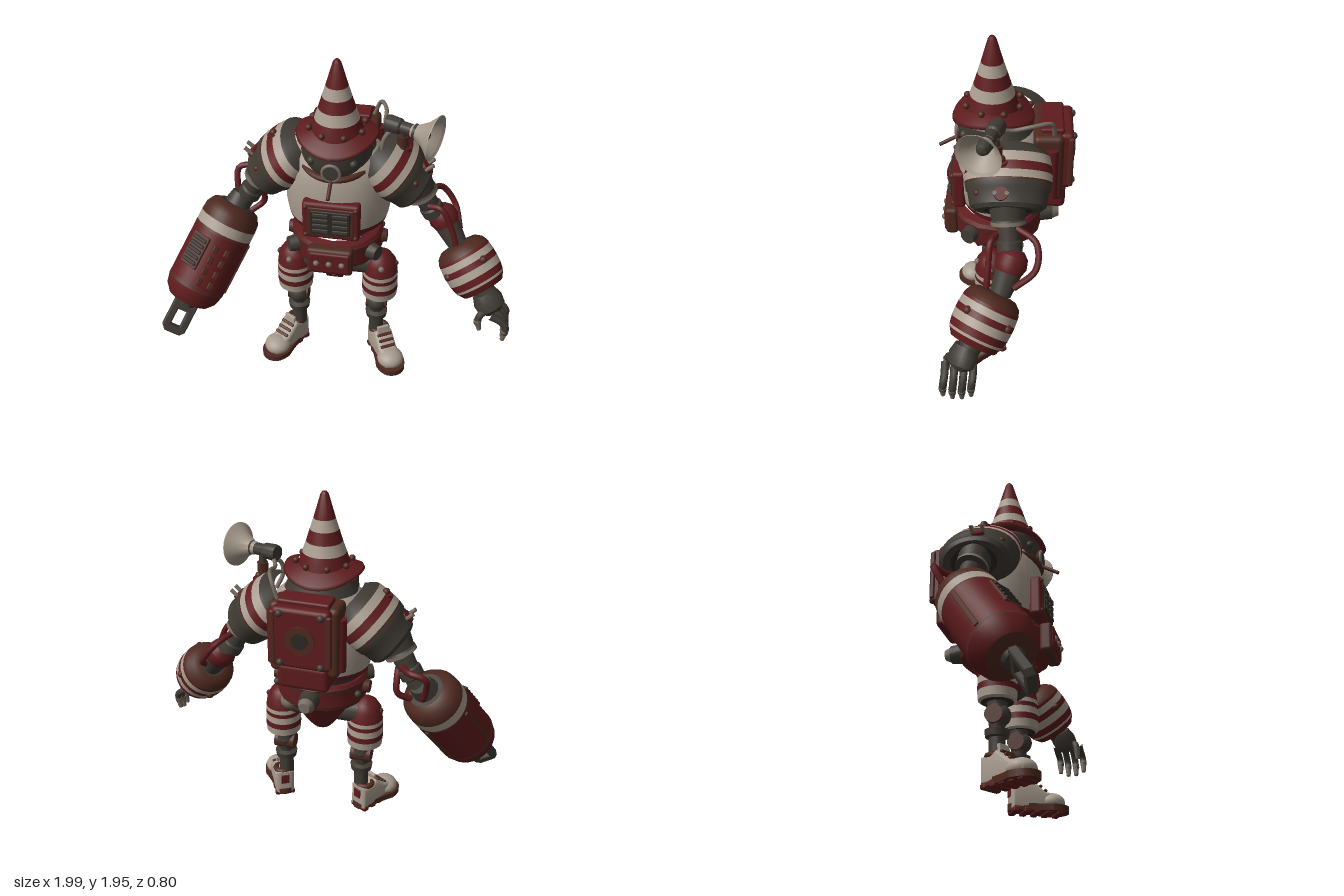
import * as THREE from 'three';
import { toCreasedNormals } from 'three/addons/utils/BufferGeometryUtils.js';
import { RoundedBoxGeometry } from 'three/addons/geometries/RoundedBoxGeometry.js';

const mat = (name, color) => {
  const m = new THREE.MeshStandardMaterial({ color });
  m.name = name;
  return m;
};
const red = mat('dark red paint', 0x5e1b1d), white = mat('worn white paint', 0xa89c8f);
const dark = mat('dark metal', 0x3e3932), rust = mat('rust brown', 0x4e291f);
const grey = mat('bare grey metal', 0x776c61), black = mat('black recess', 0x2b2824);
const shell = mat('horn cream', 0xa5998b);
shell.side = THREE.DoubleSide;

const V = (x, y, z) => new THREE.Vector3(x, y, z);
const UP = V(0, 1, 0);

function put(parent, name, geo, material, x = 0, y = 0, z = 0) {
  const m = new THREE.Mesh(geo, material);
  m.name = name;
  m.position.set(x, y, z);
  parent.add(m);
  return m;
}
const box = (p, n, m, w, h, d, x, y, z, r = 0.012) =>
  put(p, n, new RoundedBoxGeometry(w, h, d, 2, Math.min(r, w / 3, h / 3, d / 3)), m, x, y, z);
const ball = (p, n, m, r, x, y, z) => put(p, n, new THREE.SphereGeometry(r, 18, 12), m, x, y, z);
const tube = (p, n, m, r, pts) => put(p, n,
  new THREE.TubeGeometry(new THREE.CatmullRomCurve3(pts.map(a => V(...a))), 20, r, 8), m);

// Turned part: points [height, radius, colour?]; a colour starts a new band
function turned(parent, name, pts, at = [0, 0, 0], dir = [0, 1, 0], sz = 1, seg = 32) {
  const g = new THREE.Group();
  g.name = name;
  g.position.set(...at);
  g.quaternion.setFromUnitVectors(UP, V(...dir).normalize());
  g.scale.z = sz;
  let run = [], m = pts[0][2];
  const flush = () => {
    if (run.length > 1) put(g, name + 'Band', toCreasedNormals(new THREE.LatheGeometry(run, seg), 0.6), m);
  };
  for (const [h, r, c] of pts) {
    const v = new THREE.Vector2(r, h);
    run.push(v);
    if (c && c !== m) { flush(); run = [v]; m = c; }
  }
  flush();
  parent.add(g);
  return g;
}
// Closed rod between two points
function rod(parent, name, m, r, a, b, r2 = r) {
  const d = V(...b).sub(V(...a)), l = d.length();
  return turned(parent, name, [[0, 0, m], [0, r], [l, r2], [l, 0]], a, d.toArray(), 1, 18);
}

function buildHat(g) {
  turned(g, 'coneHat', [[1.52, 0.15, red], [1.57, 0.137], [1.625, 0.118, white], [1.685, 0.097, red],
    [1.75, 0.077, white], [1.81, 0.058, red], [1.935, 0.022], [1.95, 0.012], [1.95, 0]], [0, 0, 0.035]);
  // Brim droops toward front and back
  const brim = new THREE.LatheGeometry([[0.1, -0.02], [0.2, -0.025], [0.217, -0.01], [0.21, 0.005], [0.14, 0.025]]
    .map(p => new THREE.Vector2(...p)), 40);
  const p = brim.attributes.position;
  for (let i = 0; i < p.count; i++) p.setY(i, p.getY(i) - 1.1 * p.getZ(i) ** 2);
  brim.computeVertexNormals();
  put(g, 'hatBrim', brim, red, 0, 1.55, 0.03);
  for (let i = 0; i < 8; i++) {
    const a = (i + 0.5) * Math.PI / 4;
    ball(g, 'hatBolt', rust, 0.018, 0.15 * Math.sin(a), 1.58, 0.03 + 0.15 * Math.cos(a));
  }
}

function buildTorso(g) {
  turned(g, 'torso', [[0.93, 0.22, dark], [0.98, 0.24], [0.98, 0.265, red], [1.015, 0.277, white], [1.08, 0.288],
    [1.2, 0.292], [1.32, 0.28], [1.4, 0.245], [1.44, 0.2, dark], [1.5, 0.17], [1.5, 0]], [0, 0, -0.02], UP.toArray(), 0.84);
  turned(g, 'head', [[1.3, 0.12, dark], [1.36, 0.175], [1.43, 0.19], [1.5, 0.185], [1.54, 0.15]], [0, 0, 0.03]);
  const jaw = put(g, 'jawRing', new THREE.TorusGeometry(0.185, 0.017, 8, 32), rust, 0, 1.39, 0.035);
  jaw.rotation.x = Math.PI / 2 + 0.2;
  // Face lamp with a thin spout
  rod(g, 'faceLamp', rust, 0.064, [0, 1.41, 0.14], [0, 1.4, 0.225], 0.052);
  put(g, 'lampRim', new THREE.TorusGeometry(0.046, 0.009, 8, 24), grey, 0, 1.4, 0.225);
  rod(g, 'lampLens', dark, 0.042, [0, 1.4, 0.21], [0, 1.4, 0.232]);
  rod(g, 'spout', rust, 0.01, [0, 1.37, 0.2], [0, 1.3, 0.32]);
  for (const s of [-1, 1]) ball(g, 'cheekBolt', dark, 0.022, 0.11 * s, 1.44, 0.18);
  // Chest hatch with grille
  box(g, 'hatchFrame', red, 0.31, 0.23, 0.07, 0, 1.1, 0.215, 0.02);
  box(g, 'hatchPanel', rust, 0.25, 0.18, 0.02, 0, 1.1, 0.245);
  box(g, 'hatchGrille', black, 0.215, 0.15, 0.02, 0, 1.1, 0.252);
  for (const x of [-0.053, 0.053]) for (let i = 0; i < 4; i++)
    box(g, 'grilleBar', dark, 0.085, 0.022, 0.012, x, 1.05 + i * 0.034, 0.262);
  for (const s of [-1, 1]) for (const y of [1.01, 1.19]) ball(g, 'hatchBolt', rust, 0.013, 0.135 * s, y, 0.248);
  // Belt
  turned(g, 'belt', [[0.75, 0.17, red], [0.77, 0.23], [0.79, 0.25, rust], [0.81, 0.255, red], [0.89, 0.255, rust],
    [0.915, 0.258, red], [0.935, 0.245], [0.945, 0.2]], [0, 0, 0.01], UP.toArray(), 0.98, 16);
  box(g, 'buckleFrame', rust, 0.25, 0.165, 0.07, 0, 0.86, 0.262, 0.02);
  box(g, 'buckle', red, 0.225, 0.13, 0.04, 0, 0.86, 0.285);
  for (const x of [-0.07, 0, 0.07]) ball(g, 'buckleBolt', grey, 0.017, x, 0.86, 0.305);
  for (const s of [-1, 1]) {
    rod(g, 'beltKnob', dark, 0.052, [0.18 * s, 0.86, 0.13], [0.25 * s, 0.86, 0.17], 0.042);
    rod(g, 'sideKnob', rust, 0.05, [0.22 * s, 0.86, 0], [0.28 * s, 0.86, 0], 0.035);
    ball(g, 'beltBolt', dark, 0.02, 0.235 * s, 0.86, -0.1);
  }
  rod(g, 'rearKnob', dark, 0.06, [0, 0.86, -0.22], [0, 0.86, -0.3], 0.05);
  rod(g, 'rearKnobCap', grey, 0.045, [0, 0.86, -0.3], [0, 0.86, -0.335], 0.03);
  // Pelvis
  turned(g, 'pelvis', [[0.56, 0, red], [0.56, 0.05], [0.6, 0.085], [0.68, 0.14], [0.76, 0.19]], [0, 0, 0], UP.toArray(), 0.95, 16);
  box(g, 'pelvisPlate', red, 0.1, 0.15, 0.03, 0, 0.69, 0.145).rotation.x = 0.45;
  for (const y of [0.65, 0.73]) ball(g, 'pelvisBolt', rust, 0.014, 0, y, 0.14 + (y - 0.65) * 0.48);
  rod(g, 'hipAxle', dark, 0.075, [-0.24, 0.68, 0.02], [0.24, 0.68, 0.02]);
  ball(g, 'hipKnob', grey, 0.05, 0.17, 0.74, -0.09);
}

function buildBackpack(g) {
  box(g, 'backpackBody', rust, 0.38, 0.4, 0.16, 0, 1.27, -0.26, 0.03);
  box(g, 'backpackLower', red, 0.28, 0.15, 0.16, 0, 1.06, -0.28, 0.03);
  box(g, 'backpackDoor', red, 0.31, 0.34, 0.07, 0, 1.3, -0.355, 0.025);
  rod(g, 'dial', rust, 0.08, [0, 1.3, -0.38], [0, 1.3, -0.4]);
  rod(g, 'dialHub', black, 0.045, [0, 1.3, -0.4], [0, 1.3, -0.406]);
  for (const s of [-1, 1]) {
    box(g, 'doorRail', rust, 0.03, 0.3, 0.03, 0.15 * s, 1.3, -0.378);
    for (const y of [1.16, 1.44]) ball(g, 'doorBolt', dark, 0.02, 0.11 * s, y, -0.388);
    rod(g, 'sideTank', red, 0.035, [0.18 * s, 1.1, -0.28], [0.18 * s, 1.4, -0.28]);
  }
  box(g, 'backpackLid', red, 0.28, 0.04, 0.12, 0, 1.475, -0.28);
}

function buildHorn(g) {
  const d = [0.94, -0.05, 0.33], at = [0.25, 1.595, -0.005];
  turned(g, 'hornBody', [[0, 0, dark], [0, 0.04], [0.02, 0.045], [0.08, 0.042], [0.09, 0.033], [0.14, 0.033, rust], [0.16, 0.03], [0.16, 0]], at, d);
  turned(g, 'hornBell', [[0.13, 0.028, shell], [0.18, 0.042], [0.225, 0.068], [0.26, 0.103], [0.275, 0.121], [0.28, 0.121], [0.27, 0.105]], at, d);
  turned(g, 'hornCore', [[0.16, 0.042, dark], [0.22, 0.035], [0.24, 0.025], [0.25, 0]], at, d);
  rod(g, 'hornPost', dark, 0.02, [0.34, 1.4, 0], [0.34, 1.57, 0.01]);
  rod(g, 'hornClamp', rust, 0.03, [0.34, 1.48, 0.005], [0.34, 1.53, 0.005]);
  tube(g, 'hornPipe', grey, 0.011, [[0.28, 1.58, 0], [0.24, 1.55, -0.07], [0.23, 1.57, -0.18], [0.19, 1.56, -0.27], [0.15, 1.46, -0.29]]);
  tube(g, 'hornCable', grey, 0.012, [[0.29, 1.56, 0], [0.25, 1.53, 0.04], [0.24, 1.46, 0.05], [0.27, 1.38, 0.02]]);
}

function buildShoulder(g, s) {
  const d = [0.75 * s, -0.66, 0];
  turned(g, 'shoulder', [[-0.04, 0.1, dark], [0.005, 0.143], [0.02, 0.15, white], [0.07, 0.157, red], [0.115, 0.159, white],
    [0.155, 0.159, rust], [0.165, 0.158, dark], [0.2, 0.153], [0.21, 0.147], [0.28, 0.138], [0.3, 0.12], [0.3, 0.09, black], [0.29, 0]],
    [0.2 * s, 1.385, -0.055], d, 1.42);
  rod(g, 'shoulderCap', red, 0.055, [0.335 * s, 1.39, -0.02], [0.355 * s, 1.455, -0.02], 0.035);
  ball(g, 'shoulderCapBolt', rust, 0.02, 0.355 * s, 1.46, -0.02);
  // Outer stud and pins
  rod(g, 'shoulderStud', red, 0.045, [0.42 * s, 1.28, -0.02], [0.48 * s, 1.34, -0.02], 0.035);
  for (const z of [-0.05, 0.01]) rod(g, 'shoulderPin', grey, 0.011, [0.47 * s, 1.33, z], [0.51 * s, 1.365, z]);
  for (const z of [-0.17, 0.1]) ball(g, 'shoulderBolt', rust, 0.018, 0.425 * s, 1.3, z);
  // Upper arm with collar
  turned(g, 'upperArm', [[0, 0.1, dark], [0.09, 0.085], [0.1, 0.09, grey], [0.12, 0.09, dark], [0.125, 0.06], [0.2, 0.055],
    [0.21, 0.065], [0.26, 0.065], [0.27, 0.05], [0.36, 0.05], [0.36, 0]], [0.4 * s, 1.23, -0.05], [0.15 * s, -0.26, -0.02]);
}

function buildCanisterArm(g) {
  const can = turned(g, 'canister', [[-0.04, 0, dark], [-0.04, 0.06], [0.03, 0.075], [0.03, 0.1, rust], [0.05, 0.14], [0.09, 0.163],
    [0.14, 0.168, white], [0.2, 0.168, rust], [0.215, 0.169, red], [0.54, 0.17, rust], [0.56, 0.171, red], [0.62, 0.157], [0.66, 0.125, rust], [0.675, 0.06, dark], [0.7, 0.05], [0.7, 0]],
    [-0.59, 0.95, -0.075], [-0.27, -0.54, 0.345]);
  const side = a => { const k = new THREE.Group(); k.name = 'canisterDetail'; k.rotation.y = a; can.add(k); return k; };
  const vent = side(0.75), studs = side(-0.1);
  box(vent, 'ventPlate', rust, 0.02, 0.2, 0.12, 0.162, 0.35, 0);
  for (let i = 0; i < 5; i++) box(vent, 'ventSlot', black, 0.025, 0.022, 0.1, 0.167, 0.28 + i * 0.035, 0);
  for (const z of [-0.035, 0.035]) for (let i = 0; i < 4; i++) box(studs, 'canisterStud', rust, 0.02, 0.045, 0.032, 0.166, 0.29 + i * 0.07, z);
  for (const a of [-1.4, 2.2, 3.8]) box(side(a), 'canisterRib', rust, 0.015, 0.32, 0.025, 0.17, 0.38, 0);
  // Loop hook at the end
  const link = new THREE.Shape([[-0.065, 0], [0.065, 0], [0.065, 0.17], [0.045, 0.195], [-0.045, 0.195], [-0.065, 0.17]].map(p => new THREE.Vector2(...p)));
  link.holes.push(new THREE.Path([[-0.035, 0.045], [-0.035, 0.16], [0.035, 0.16], [0.035, 0.045]].map(p => new THREE.Vector2(...p))));
  const lg = new THREE.ExtrudeGeometry(link, { depth: 0.035, bevelSize: 0.006, bevelThickness: 0.006, bevelSegments: 1 });
  lg.translate(0, 0, -0.0175).rotateY(Math.PI / 2);
  put(can, 'hookLink', lg, dark, 0, 0.69, 0);
  tube(g, 'armHose', red, 0.018, [[-0.48, 1.08, -0.12], [-0.54, 1.1, -0.21], [-0.62, 1.08, -0.21], [-0.62, 0.98, -0.16], [-0.6, 0.9, -0.12]]);
  tube(g, 'armHose', red, 0.018, [[-0.45, 1.08, -0.05], [-0.45, 1, -0.1], [-0.46, 0.92, -0.12], [-0.53, 0.87, -0.08]]);
}

function buildHandArm(g) {
  const d = [0.58, -0.69, 0.43];
  turned(g, 'elbow', [[-0.07, 0, dark], [-0.06, 0.045, red], [-0.03, 0.075], [0.02, 0.085], [0.06, 0.07, dark], [0.18, 0.055]], [0.575, 0.98, -0.08], [0.5, -0.72, 0.3]);
  turned(g, 'forearm', [[0, 0, dark], [0, 0.08, rust], [0.005, 0.11], [0.03, 0.14], [0.06, 0.153, red], [0.075, 0.155, white], [0.115, 0.159, red], [0.15, 0.16, white],
    [0.195, 0.158, red], [0.235, 0.15, white], [0.25, 0.145, red], [0.285, 0.12, dark], [0.29, 0.06], [0.33, 0.055], [0.33, 0]], [0.675, 0.85, -0.005], d);
  for (const a of [0.4, 2, 3.6, 5.2]) ball(g.getObjectByName('forearm'), 'forearmBolt', rust, 0.022, 0.155 * Math.cos(a), 0.13, 0.155 * Math.sin(a));
  turned(g, 'palm', [[0, 0, dark], [0, 0.055], [0.05, 0.07], [0.1, 0.065], [0.13, 0.035], [0.13, 0]], [0.845, 0.645, 0.145], [0.55, -0.8, 0.3], 1.25, 14);
  for (let i = 0; i < 4; i++) {
    const z = 0.11 + i * 0.048, k = i === 0 || i === 3 ? 0.02 : 0;
    tube(g, 'finger', dark, 0.02, [[0.89, 0.57, z], [0.95, 0.54, z], [0.98, 0.49 + k, z + 0.005], [0.98, 0.44 + k, z + 0.01]]);
    rod(g, 'fingertip', grey, 0.021, [0.982, 0.465 + k, z + 0.008], [0.972, 0.395 + k, z + 0.01], 0.012);
  }
  tube(g, 'thumb', dark, 0.02, [[0.88, 0.58, 0.2], [0.835, 0.55, 0.24], [0.825, 0.5, 0.25]]);
  rod(g, 'thumbTip', grey, 0.021, [0.825, 0.53, 0.25], [0.84, 0.46, 0.25], 0.012);
  tube(g, 'armHose', red, 0.017, [[0.5, 1.09, 0], [0.57, 1.1, 0.03], [0.63, 0.99, 0.04], [0.67, 0.87, 0.05]]);
  tube(g, 'armHose', red, 0.017, [[0.49, 1.13, -0.1], [0.56, 1.09, -0.2], [0.64, 0.98, -0.2], [0.68, 0.89, -0.09]]);
}

function buildLeg(g, s) {
  turned(g, 'thigh', [[0.46, 0, black], [0.455, 0.085, white], [0.465, 0.1], [0.51, 0.104, red], [0.545, 0.104, white], [0.585, 0.102, red],
    [0.61, 0.102, white], [0.635, 0.1, red], [0.7, 0.09], [0.74, 0.065], [0.762, 0.035], [0.77, 0]], [0.25 * s, 0, 0.03]);
  ball(g, 'thighBolt', grey, 0.018, 0.265 * s, 0.7, 0.115);
  ball(g, 'thighBolt', rust, 0.018, 0.335 * s, 0.69, 0.03);
  turned(g, 'shin', [[0.15, 0.042, dark], [0.27, 0.042], [0.275, 0.06], [0.31, 0.065], [0.32, 0.04], [0.36, 0.045], [0.4, 0.06], [0.44, 0.05], [0.47, 0.06]], [0.235 * s, 0, 0.025]);
  rod(g, 'kneeDisc', rust, 0.048, [0.175 * s, 0.385, 0.02], [0.295 * s, 0.385, 0.02]);
  ball(g, 'kneeCap', dark, 0.058, 0.235 * s, 0.39, 0.04);
  // Shoe, turned outward
  const shoe = new THREE.Group();
  shoe.name = 'shoe';
  shoe.position.set(0.255 * s, 0, 0.02);
  shoe.rotation.y = 0.52 * s;
  g.add(shoe);
  const side = new THREE.Shape();
  side.moveTo(-0.035, 0.04).lineTo(0.21, 0.04).quadraticCurveTo(0.25, 0.085, 0.19, 0.095).lineTo(0.13, 0.105).lineTo(0.055, 0.165)
    .lineTo(0.02, 0.145).lineTo(-0.035, 0.15).lineTo(-0.035, 0.04);
  const ug = new THREE.ExtrudeGeometry(side, { depth: 0.05, bevelSize: 0.02, bevelThickness: 0.032, bevelSegments: 4 });
  put(shoe, 'shoeUpper', toCreasedNormals(ug.translate(0, 0, -0.025).rotateY(-Math.PI / 2), 0.8), white);
  ball(shoe, 'toeCap', white, 0.078, 0, 0.072, 0.18).scale.set(1, 0.68, 1);
  box(shoe, 'tongue', white, 0.075, 0.07, 0.02, 0, 0.185, 0.062).rotation.x = -0.2;
  const sole = new THREE.Shape();
  sole.moveTo(-0.055, -0.04).quadraticCurveTo(0, -0.09, 0.055, -0.04).quadraticCurveTo(0.05, 0.06, 0.085, 0.17)
    .quadraticCurveTo(0.08, 0.275, 0, 0.278).quadraticCurveTo(-0.08, 0.275, -0.085, 0.17).quadraticCurveTo(-0.05, 0.06, -0.055, -0.04);
  // Shape y becomes forward when turned down
  put(shoe, 'sole', new THREE.ExtrudeGeometry(sole, { depth: 0.036, bevelEnabled: false }).rotateX(Math.PI / 2), rust, 0, 0.05, 0);
  for (let i = 0; i < 5; i++) box(shoe, 'tread', red, 0.12, 0.03, 0.038, 0, 0.015, -0.03 + i * 0.062);
  for (let i = 0; i < 3; i++) box(shoe, 'lace', rust, 0.09, 0.014, 0.018, 0, 0.13 + i * 0.022, 0.14 - i * 0.028).rotation.x = 0.6;
  put(shoe, 'shoeCollar', new THREE.TorusGeometry(0.045, 0.016, 8, 24), rust, 0, 0.168, 0.008).rotation.x = Math.PI / 2;
  box(shoe, 'heelTab', red, 0.05, 0.06, 0.012, 0, 0.12, -0.055);
}

export function createModel() {
  const g = new THREE.Group();
  g.name = 'stripedRobot';
  [buildHat, buildTorso, buildBackpack, buildHorn, buildCanisterArm, buildHandArm].forEach(f => f(g));
  for (const s of [-1, 1]) {
    buildShoulder(g, s);
    buildLeg(g, s);
  }
  return g;
}
